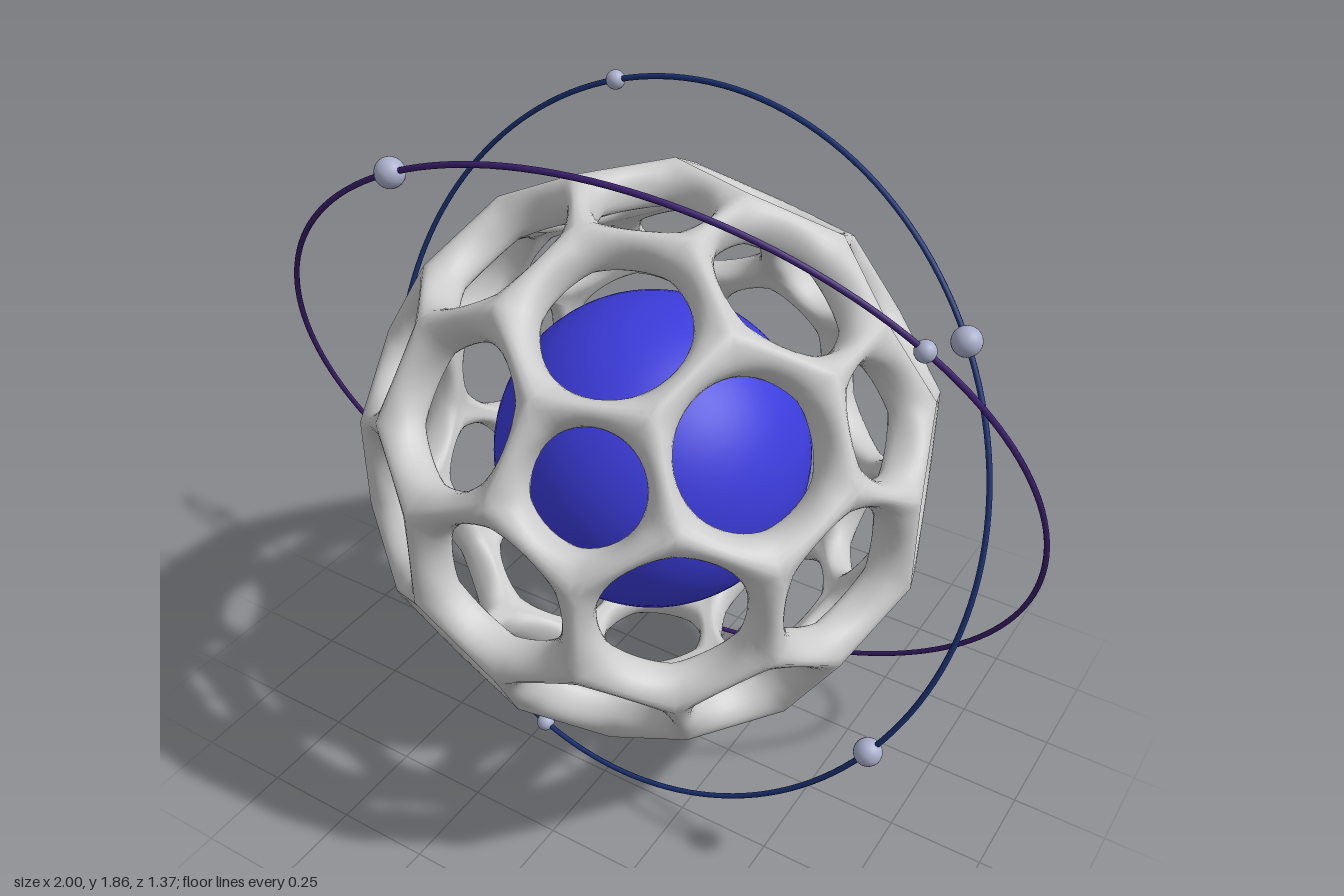
import * as THREE from 'three';
import { mergeVertices } from 'three/addons/utils/BufferGeometryUtils.js';

const CENTER_Y = 0.955;
const mat = (color) => new THREE.MeshStandardMaterial({ color });

// Face planes of the cage: 12 pentagons on icosahedron corners, 30 hexagons on its edge midpoints
function cageFaces() {
  const pents = [new THREE.Vector3(0, 1, 0)];
  const polar = Math.atan(2);
  for (let k = 0; k < 5; k++) {
    pents.push(new THREE.Vector3().setFromSphericalCoords(1, polar, Math.PI / 2 + (k * 2 * Math.PI) / 5));
  }
  pents.push(...pents.map((p) => p.clone().negate()));
  const faces = pents.map((n) => ({ n, d: 0.695, r: 0.143 }));
  pents.forEach((a, i) => pents.slice(i + 1).forEach((b) => {
    if (a.dot(b) > 0.4) faces.push({ n: a.clone().add(b).normalize(), d: 0.685, r: 0.184 });
  }));
  return faces;
}

// Point shared by three face planes
function corner(a, b, c) {
  const bc = b.n.clone().cross(c.n);
  const ca = c.n.clone().cross(a.n);
  const ab = a.n.clone().cross(b.n);
  const det = a.n.dot(bc);
  return bc.multiplyScalar(a.d).addScaledVector(ca, b.d).addScaledVector(ab, c.d).divideScalar(det);
}

// Each face is a rounded collar from its polygon edge, through the round hole, to the inner side
function cageGeometry() {
  const perSide = 8, steps = 12, depth = 0.145;
  const positions = [], index = [];
  const faces = cageFaces();
  for (const face of faces) {
    const u = new THREE.Vector3(0.31, 0.52, 0.79).cross(face.n).normalize();
    const v = face.n.clone().cross(u);
    const angle = (f) => Math.atan2(f.n.dot(v), f.n.dot(u));
    const around = faces
      .filter((f) => f !== face && f.n.dot(face.n) > 0.78)
      .sort((a, b) => angle(a) - angle(b));
    const sides = around.length;
    const corners = around.map((f, k) => corner(face, f, around[(k + 1) % sides]));
    const center = face.n.clone().multiplyScalar(face.d);
    const start = positions.length / 3;
    const count = sides * perSide;
    for (let i = 0; i < count; i++) {
      const k = Math.floor(i / perSide);
      const edge = corners[k].clone().lerp(corners[(k + 1) % sides], (i % perSide) / perSide);
      const rim = edge.clone().sub(center).setLength(face.r).add(center);
      for (let j = 0; j <= steps; j++) {
        const t = (j / steps) * Math.PI;
        const across = Math.pow(Math.max(0, Math.sin(t)), 0.85);
        const c = Math.cos(t);
        const down = (1 - Math.sign(c) * Math.pow(Math.abs(c), 0.85)) / 2;
        const p = edge.clone().lerp(rim, across).multiplyScalar(1 - depth * down);
        positions.push(p.x, p.y, p.z);
      }
    }
    for (let i = 0; i < count; i++) {
      for (let j = 0; j < steps; j++) {
        const a = start + i * (steps + 1) + j;
        const b = start + ((i + 1) % count) * (steps + 1) + j;
        index.push(a, b, b + 1, a, b + 1, a + 1);
      }
    }
  }
  let geo = new THREE.BufferGeometry();
  geo.setAttribute('position', new THREE.Float32BufferAttribute(positions, 3));
  geo.setIndex(index);
  geo = mergeVertices(geo, 1e-4);
  geo.computeVertexNormals();
  return geo;
}

// Thin tilted ring carrying beads, each bead given as [x, y from centre, radius]
function orbit(name, radius, normal, color, beads) {
  const group = new THREE.Group();
  group.name = name;
  const n = new THREE.Vector3(...normal).normalize();
  const ring = new THREE.Mesh(new THREE.TorusGeometry(radius, 0.007, 8, 160), mat(color));
  ring.name = name + 'Ring';
  ring.quaternion.setFromUnitVectors(new THREE.Vector3(0, 0, 1), n);
  group.add(ring);
  const beadMat = mat(0xaab0cc);
  beads.forEach(([x, y, r], i) => {
    const bead = new THREE.Mesh(new THREE.SphereGeometry(r, 24, 16), beadMat);
    bead.name = `${name}Bead${i + 1}`;
    bead.position.set(x, y, -(n.x * x + n.y * y) / n.z).setLength(radius);
    group.add(bead);
  });
  return group;
}

export function createModel() {
  const model = new THREE.Group();
  model.name = 'cagedSphereWithOrbits';
  const body = new THREE.Group();
  body.name = 'body';
  body.position.y = CENTER_Y;
  model.add(body);

  const core = new THREE.Mesh(new THREE.SphereGeometry(0.4, 64, 40), mat(0x3c3cdc));
  core.name = 'core';
  const cage = new THREE.Mesh(cageGeometry(), mat(0xcccccc));
  cage.name = 'cage';
  body.add(core, cage);

  const big = 0.035, small = 0.024;
  body.add(orbit('outerOrbit', 0.998, [0.11, -0.4, 0.91], 0x3c2070, [
    [-0.415, 0.82, big], [0.757, 0.63, small], [-0.965, -0.28, small], [0.085, -0.915, big],
  ]));
  body.add(orbit('innerOrbit', 0.912, [-0.115, 0.305, 0.945], 0x1c3478, [
    [-0.295, 0.815, small], [0.745, 0.513, big], [0.755, -0.46, big],
    [-0.905, -0.077, big], [-0.195, -0.855, small],
  ]));
  return model;
}
